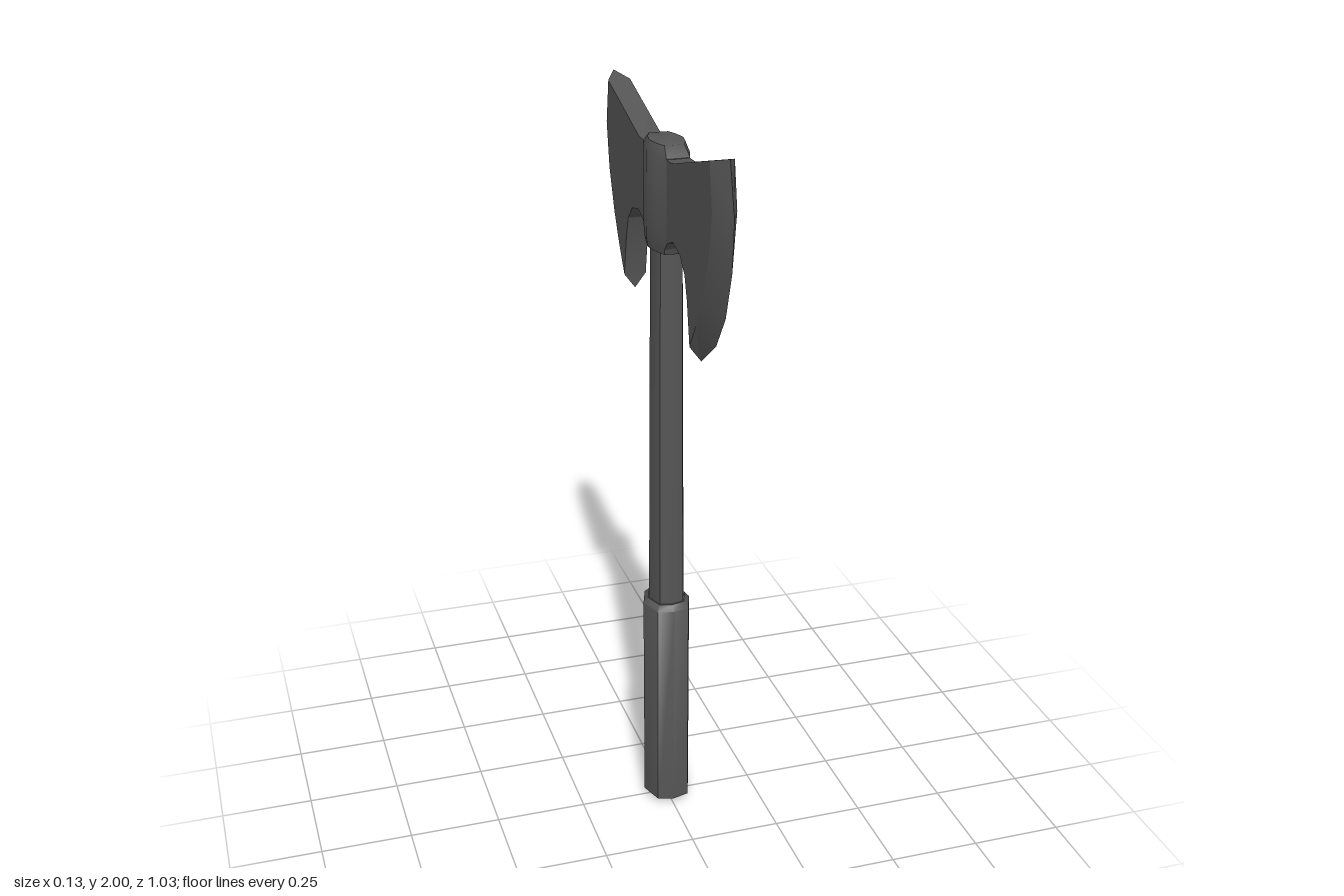
import * as THREE from 'three';
import { toCreasedNormals, mergeGeometries } from 'three/addons/utils/BufferGeometryUtils.js';

const CREASE = 0.8;

function geometryFrom(positions) {
  const geo = new THREE.BufferGeometry();
  geo.setAttribute('position', new THREE.Float32BufferAttribute(positions, 3));
  geo.computeVertexNormals();
  return geo;
}

// Mirrors a quarter outline [x, z] (from the x axis to the z axis) into a closed ring
function mirrorRing(quarter) {
  const half = [...quarter, ...quarter.slice(0, -1).reverse().map(([x, z]) => [-x, z])];
  return [...half, ...half.slice(1, -1).reverse().map(([x, z]) => [x, -z])];
}

// Stacks scaled copies of a ring; each level is [y, scaleX, scaleZ]
function loft(ring, levels) {
  const out = [];
  const n = ring.length;
  const at = (l, i) => [ring[i % n][0] * levels[l][1], levels[l][0], ring[i % n][1] * levels[l][2]];
  const last = levels.length - 1;
  for (let i = 0; i < n; i++) {
    for (let l = 0; l < last; l++) {
      const a = at(l, i), b = at(l, i + 1), c = at(l + 1, i), d = at(l + 1, i + 1);
      out.push(...a, ...c, ...b, ...b, ...c, ...d);
    }
    out.push(0, levels[0][0], 0, ...at(0, i), ...at(0, i + 1));
    out.push(0, levels[last][0], 0, ...at(last, i + 1), ...at(last, i));
  }
  return toCreasedNormals(geometryFrom(out), CREASE);
}

// One blade: flat cheek plus a bevel running to the cutting edge
function bladeGeometry() {
  const t = 0.03;
  const top = [[0, 1.9], [0.14, 1.905]];
  const bevel = [[0.425, 1.985], [0.447, 1.87], [0.425, 1.75], [0.38, 1.64], [0.335, 1.56], [0.287, 1.49]];
  const edge = [[0.48, 2], [0.515, 1.87], [0.505, 1.74], [0.465, 1.62], [0.4, 1.53], [0.288, 1.45]];
  const arch = [[0.265, 1.6], [0.245, 1.66], [0.205, 1.698], [0.15, 1.712], [0.105, 1.695], [0.08, 1.67], [0, 1.67]];

  const outline = [...top, ...bevel, ...arch].map(([s, y]) => new THREE.Vector2(s, y));
  const cheek = new THREE.ExtrudeGeometry(new THREE.Shape(outline), { depth: 2 * t, bevelEnabled: false });
  cheek.translate(0, 0, -t);
  cheek.deleteAttribute('uv');

  const out = [];
  const last = bevel.length - 1;
  for (let i = 0; i < last; i++) {
    const o0 = [...edge[i], 0], o1 = [...edge[i + 1], 0];
    for (const d of [t, -t]) {
      const a = [...bevel[i], d], b = [...bevel[i + 1], d];
      if (d > 0) out.push(...a, ...b, ...o1, ...a, ...o1, ...o0);
      else out.push(...a, ...o1, ...b, ...a, ...o0, ...o1);
    }
  }
  // Closing triangles at the upper and lower tips
  out.push(...bevel[0], t, ...edge[0], 0, ...bevel[0], -t);
  out.push(...bevel[last], t, ...bevel[last], -t, ...edge[last], 0);

  const merged = mergeGeometries([cheek.index ? cheek.toNonIndexed() : cheek, geometryFrom(out)]);
  merged.rotateY(-Math.PI / 2);
  return toCreasedNormals(merged, 0.3);
}

export function createModel() {
  const axe = new THREE.Group();
  axe.name = 'doubleAxe';
  const iron = new THREE.MeshStandardMaterial({ color: 0x555555 });
  iron.name = 'dark iron';

  const add = (name, geo) => {
    const mesh = new THREE.Mesh(geo, iron);
    mesh.name = name;
    axe.add(mesh);
    return mesh;
  };

  // Handle: eight-sided grip and slimmer, slightly tapered shaft
  const handleRing = mirrorRing([[0.066, 0], [0.044, 0.063], [0, 0.075]]);
  add('grip', loft(handleRing, [[0, 0.6, 0.6], [0.02, 1, 1], [0.635, 1, 1], [0.65, 0.8, 0.8]]));
  add('shaft', loft(handleRing, [[0.6, 0.76, 0.74], [1.7, 0.65, 0.67]]));

  // Head socket with rounded-off crown and lower collar
  const socketRing = mirrorRing([[0.052, 0], [0.044, 0.055], [0.03, 0.098], [0, 0.1]]);
  add('socket', loft(socketRing, [
    [1.657, 0.93, 0.78], [1.675, 1, 0.85], [1.71, 1, 1], [1.905, 1, 1], [1.93, 0.85, 0.68],
  ]));

  // Two mirrored blades
  const blade = bladeGeometry();
  add('frontBlade', blade);
  add('backBlade', blade).rotation.y = Math.PI;

  return axe;
}
